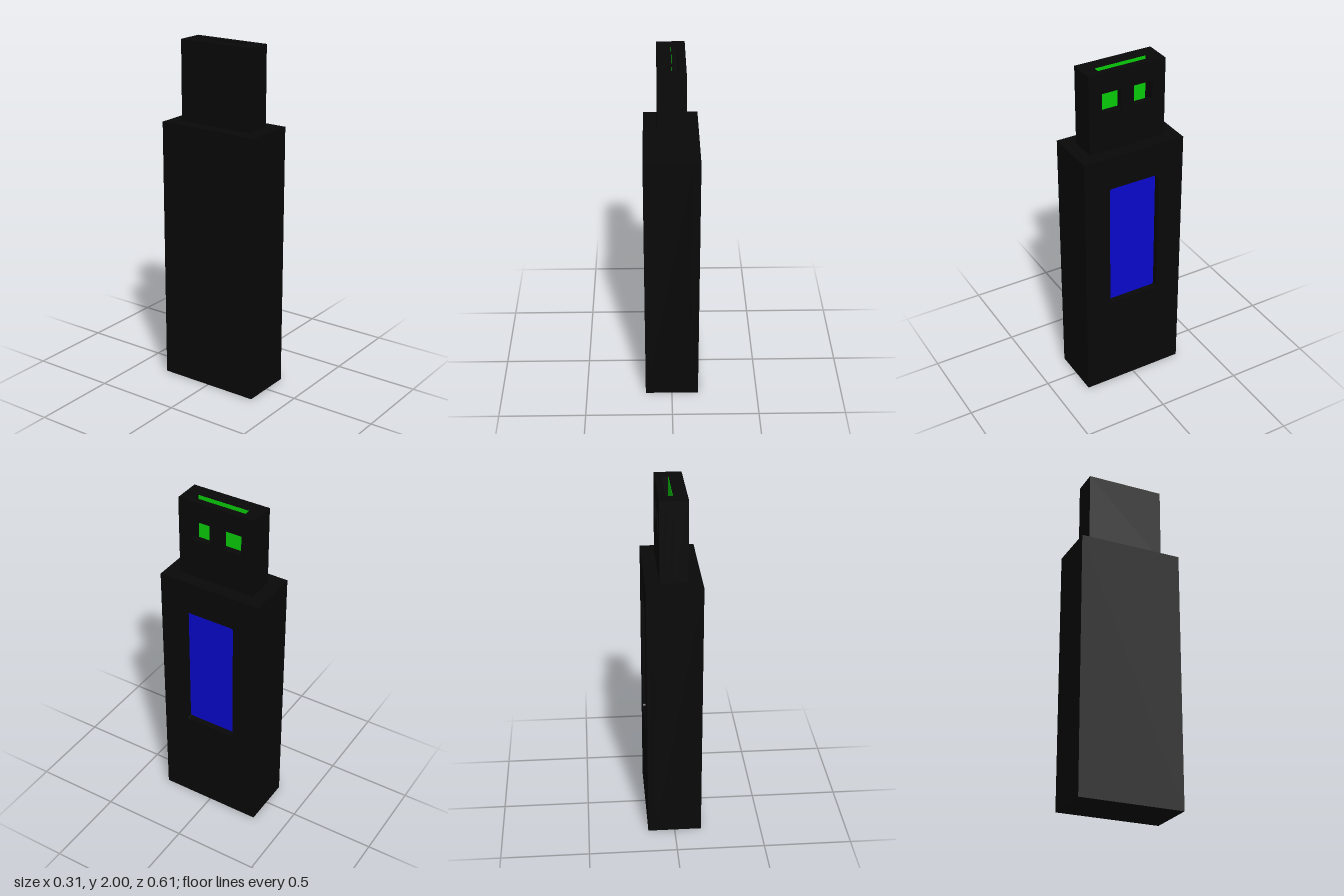
import * as THREE from 'three';

const black = new THREE.MeshStandardMaterial({ color: 0x080808 });
black.name = 'black plastic';
const blue = new THREE.MeshStandardMaterial({ color: 0x0808cc });
blue.name = 'blue label';
const green = new THREE.MeshStandardMaterial({ color: 0x08cc08 });
green.name = 'green contacts';

// Outline in (z, y), optionally with rounded corners
function rect(z0, z1, y0, y1, r = 0, Type = THREE.Shape) {
  const s = new Type();
  if (!r) {
    s.moveTo(z0, y0).lineTo(z1, y0).lineTo(z1, y1).lineTo(z0, y1).closePath();
    return s;
  }
  s.moveTo(z0 + r, y0).lineTo(z1 - r, y0).quadraticCurveTo(z1, y0, z1, y0 + r);
  s.lineTo(z1, y1 - r).quadraticCurveTo(z1, y1, z1 - r, y1);
  s.lineTo(z0 + r, y1).quadraticCurveTo(z0, y1, z0, y1 - r);
  s.lineTo(z0, y0 + r).quadraticCurveTo(z0, y0, z0 + r, y0);
  return s;
}

// Layer of the stick: a (z, y) outline extruded from x0 to x1.
// All outlines are symmetric in z, so the turn does not mirror them visibly.
function layer(name, shape, x0, x1, material) {
  const geo = new THREE.ExtrudeGeometry(shape, { depth: x1 - x0, bevelEnabled: false, curveSegments: 4 });
  geo.rotateY(Math.PI / 2).translate(x0, 0, 0);
  const mesh = new THREE.Mesh(geo, material);
  mesh.name = name;
  return mesh;
}

export function createModel() {
  const model = new THREE.Group();
  model.name = 'memoryStick';

  // Body: solid core with a cover plate that frames the label recess
  const body = new THREE.Group();
  body.name = 'body';
  const W = 0.154, D = 0.307, H = 1.54, recess = 0.037;
  const cover = rect(-D, D, 0, H);
  cover.holes.push(rect(-0.154, 0.154, 0.578, 1.346, 0.016, THREE.Path));
  body.add(
    layer('bodyCore', rect(-D, D, 0, H), -W, W - recess - 0.004, black),
    layer('bodyCover', cover, W - recess - 0.004, W, black),
    layer('label', rect(-0.154, 0.154, 0.578, 1.346, 0.016), W - recess - 0.004, W - recess, blue)
  );

  // Connector: back slab, slotted middle layer, front plate with two windows
  const connector = new THREE.Group();
  connector.name = 'connector';
  const w = 0.077, d = 0.23, top = 2, slot = 0.154, slotFloor = 1.615, gap = 0.038;
  const middle = new THREE.Shape([
    [-d, H], [d, H], [d, top], [slot, top], [slot, slotFloor],
    [-slot, slotFloor], [-slot, top], [-d, top]
  ].map(([z, y]) => new THREE.Vector2(z, y)));
  const front = rect(-d, d, H, top);
  for (const side of [-1, 1]) {
    const c = side * 0.0965;
    front.holes.push(rect(c - 0.0575, c + 0.0575, 1.77, 1.885, 0, THREE.Path));
  }
  connector.add(
    layer('connectorBack', rect(-d, d, H, top), -w, 0, black),
    layer('connectorSlot', middle, 0, gap, black),
    layer('connectorFront', front, gap, w, black),
    layer('contacts', rect(-slot, slot, slotFloor, top - 0.002), 0, 0.002, green)
  );

  model.add(body, connector);
  return model;
}
